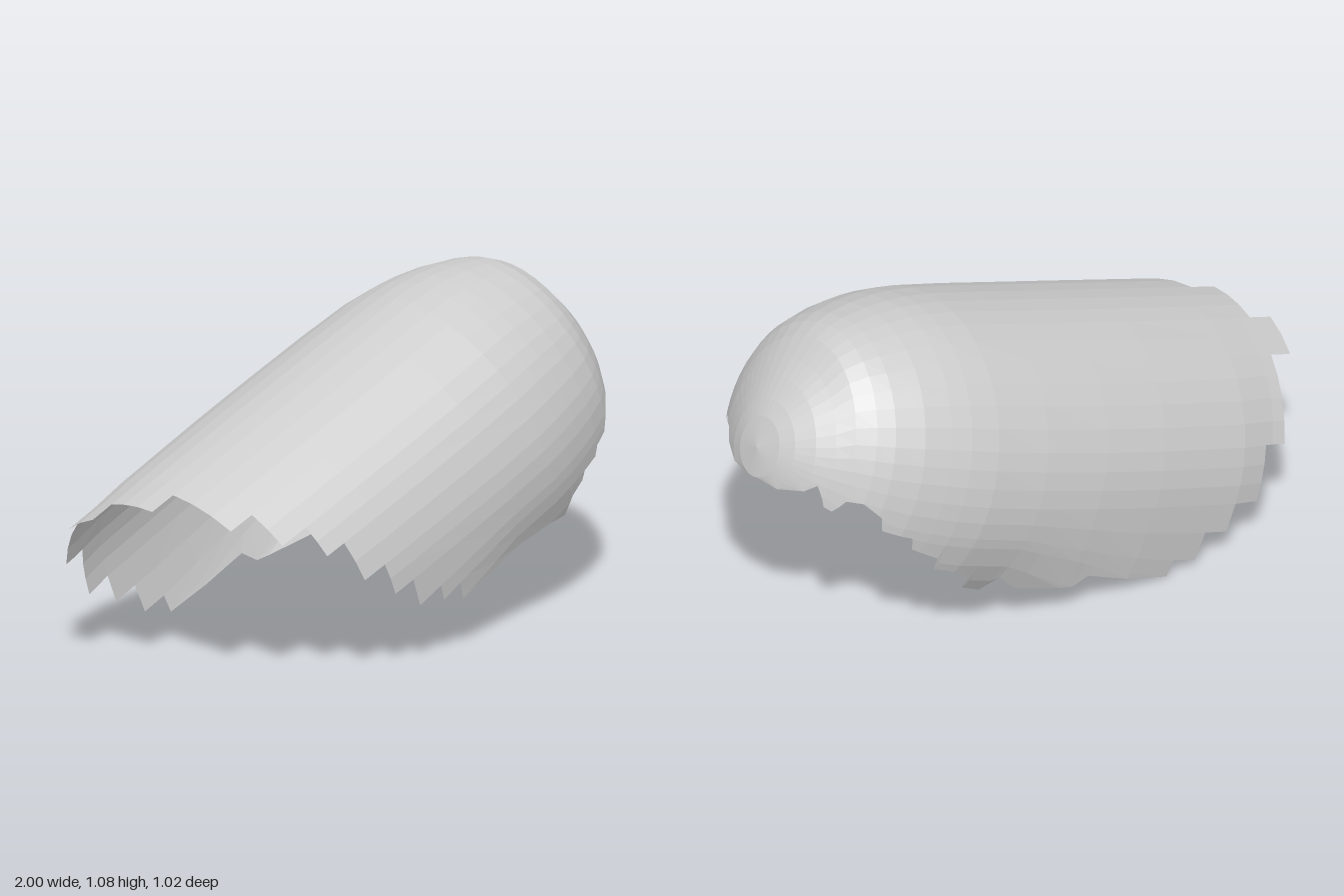
import * as THREE from 'three';

const TILT = 20.8 * Math.PI / 180, AXIS = 0.36; // shell axis: slope and height
const rad = THREE.MathUtils.degToRad;

// Linear lookup in rows of [u, value, value...]
function lookup(rows, u, col = 1) {
  if (u <= rows[0][0]) return rows[0][col];
  for (let i = 1; i < rows.length; i++) {
    const a = rows[i - 1], b = rows[i];
    if (u <= b[0]) return a[col] + (b[col] - a[col]) * (u - a[0]) / (b[0] - a[0]);
  }
  return rows[rows.length - 1][col];
}

// Position along the axis, front half width, height above the axis, back half width
const PROFILE = [
  [-0.75, 0.5, 0.505, 0.468], [-0.6, 0.503, 0.505, 0.475], [-0.46, 0.506, 0.505, 0.497],
  [-0.1, 0.51, 0.505, 0.512], [0.15, 0.51, 0.505, 0.512], [0.4, 0.507, 0.506, 0.503],
  [0.6, 0.494, 0.505, 0.486], [0.7, 0.478, 0.497, 0.466], [0.77, 0.462, 0.486, 0.446],
  [0.86, 0.437, 0.463, 0.417], [0.95, 0.4, 0.43, 0.373], [1.0, 0.363, 0.405, 0.338],
  [1.05, 0.31, 0.362, 0.29], [1.09, 0.262, 0.287, 0.25], [1.13, 0.2, 0.225, 0.2],
  [1.165, 0.14, 0.155, 0.14], [1.185, 0.09, 0.1, 0.09], [1.2, 0, 0, 0],
];

// Ragged lower edge on each side: position, degrees below the widest line
const LIP = [[1.11, 8], [1.13, 18], [1.165, 40], [1.185, 90]];
const FRONT_EDGE = [
  [0.115, 19], [0.29, 22], [0.45, 25], [0.585, 28], [0.67, 33], [0.7, 25], [0.76, 23], [0.775, 19.5],
  [0.85, 20], [0.865, 16], [0.93, 16], [0.95, 11], [1.0, 6], [1.04, 9], [1.06, 5], ...LIP,
];
const BACK_EDGE = [
  [-0.26, 17.5], [0.07, 21], [0.107, 26], [0.315, 35], [0.4, 33], [0.417, 43], [0.5, 41], [0.515, 34],
  [0.62, 30], [0.68, 30], [0.7, 24], [0.8, 22], [0.82, 17], [0.92, 17], [0.94, 11], [1.0, 7],
  [1.04, 9], [1.06, 18], [1.08, 19], ...LIP,
];

// Lengthwise strips: angle from, angle to (0 = top, + = front side), start position
const STRIPS = [
  [-180, -107.5, -0.26], [-107.5, -103.3, -0.27], [-103.3, -96.6, -0.365], [-96.6, -90, -0.46],
  [-90, -69, -0.565], [-69, -35, -0.65], [-35, -17, -0.735], [-17, 6, -0.645], [6, 34, -0.545],
  [34, 50, -0.445], [50, 63, -0.335], [63, 79, -0.255], [79, 91, -0.16], [91, 98.4, -0.075],
  [98.4, 103, 0.03], [103, 109, 0.115], [109, 180, 0.115],
];

// Keep an angle above the ragged edge
function clip(u, deg) {
  const limit = 90 + lookup(deg > 0 ? FRONT_EDGE : BACK_EDGE, u);
  return THREE.MathUtils.clamp(deg, -limit, limit);
}

// Point on the shell; the straight end has steeper, longer sides
function shellPoint(u, deg) {
  const a = rad(clip(u, deg));
  const drop = THREE.MathUtils.clamp(1.7 - 0.7 * (u + 0.2) / 0.6, 1, 1.7);
  const rise = Math.cos(a) * lookup(PROFILE, u, 2);
  const v = AXIS + (rise < 0 ? rise * drop : rise);
  return [
    u * Math.cos(TILT) - v * Math.sin(TILT),
    u * Math.sin(TILT) + v * Math.cos(TILT),
    lookup(PROFILE, u, deg > 0 ? 1 : 3) * Math.sin(a),
  ];
}

function shellGeometry() {
  const positions = [];
  for (const [from, to, start] of STRIPS) {
    const edge = to > 0 ? FRONT_EDGE : BACK_EDGE;
    const low = Math.max(Math.abs(from), Math.abs(to)) > 90;
    const marks = [...PROFILE, ...(low ? edge : [])].map((row) => row[0]).filter((u) => u > start + 0.004);
    const stations = [start, ...new Set(marks)].sort((a, b) => a - b);
    const parts = Math.ceil((to - from) / 9.5);
    for (let j = 0; j < parts; j++) {
      const d0 = from + (to - from) * j / parts, d1 = from + (to - from) * (j + 1) / parts;
      for (let i = 0; i + 1 < stations.length; i++) {
        const u0 = stations[i], u1 = stations[i + 1];
        const open0 = clip(u0, d1) - clip(u0, d0) > 1e-4;
        const open1 = clip(u1, d1) - clip(u1, d0) > 1e-4;
        const a = shellPoint(u0, d0), b = shellPoint(u0, d1);
        const c = shellPoint(u1, d1), d = shellPoint(u1, d0);
        if (open0) positions.push(...a, ...b, ...c);
        if (open1 && u1 < 1.2) positions.push(...a, ...c, ...d);
      }
    }
  }
  const geometry = new THREE.BufferGeometry();
  geometry.setAttribute('position', new THREE.Float32BufferAttribute(positions, 3));
  geometry.computeVertexNormals();
  return geometry;
}

export function createModel() {
  const group = new THREE.Group();
  group.name = 'roundedShell';
  // Thin open shell with a domed end and stepped edges
  const shell = new THREE.Mesh(
    shellGeometry(),
    new THREE.MeshStandardMaterial({ color: 0xcccccc, flatShading: true, side: THREE.DoubleSide }),
  );
  shell.name = 'shell';
  group.add(shell);
  return group;
}
